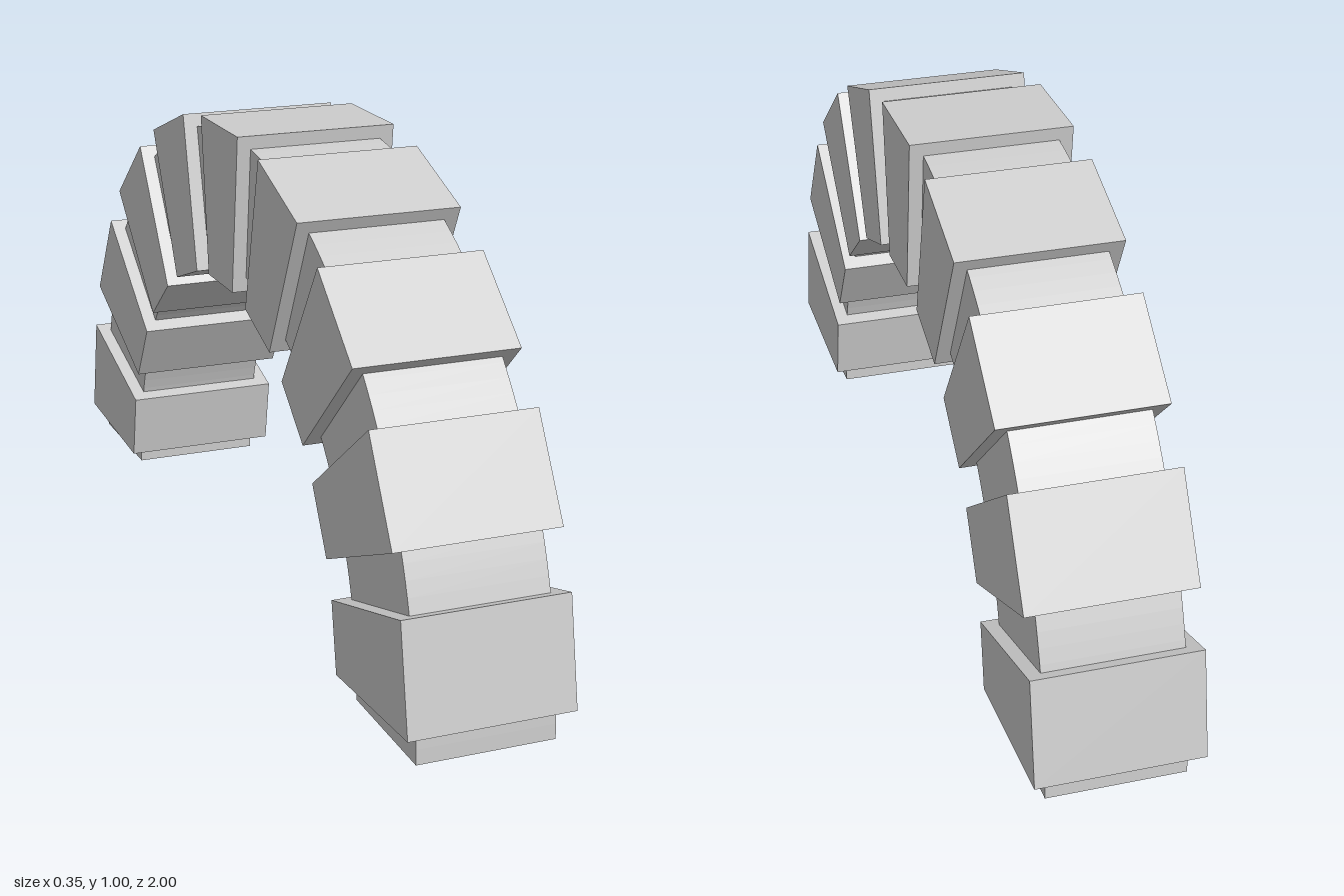
import * as THREE from 'three';

const OUTER = 0.995, INNER = 0.655;          // radial reach of the wedge blocks
const CORE_OUTER = 0.973, CORE_INNER = 0.69; // radial reach of the recessed core
const BLOCKS = 9, STEP = Math.PI / BLOCKS;

// Extrude a (z, y) outline to a given width, centred on x = 0
function slab(shape, width, curveSegments = 1) {
  const geometry = new THREE.ExtrudeGeometry(shape, { depth: width, bevelEnabled: false, curveSegments });
  geometry.translate(0, 0, -width / 2);
  geometry.rotateY(-Math.PI / 2);
  return geometry;
}

export function createModel() {
  const model = new THREE.Group();
  model.name = 'stoneArch';
  const stone = new THREE.MeshStandardMaterial({ color: 0xcccccc });
  stone.name = 'pale grey stone';

  const arch = new THREE.Group();
  arch.name = 'arch';
  arch.position.y = 0.005;
  model.add(arch);

  // Recessed half-ring running through all blocks
  const start = -0.005, end = THREE.MathUtils.degToRad(179.4);
  const ring = new THREE.Shape();
  ring.absarc(0, 0, CORE_OUTER, start, end, false);
  ring.absarc(0, 0, CORE_INNER, end, start, true);
  const core = new THREE.Mesh(slab(ring, 0.287, 48), stone);
  core.name = 'archCore';
  arch.add(core);

  // Wider tapered blocks spaced evenly around the half-circle
  const wedge = new THREE.Shape([
    new THREE.Vector2(-0.075, INNER), new THREE.Vector2(0.075, INNER),
    new THREE.Vector2(0.114, OUTER), new THREE.Vector2(-0.114, OUTER),
  ]);
  const wedgeGeometry = slab(wedge, 0.346);
  const middle = (BLOCKS - 1) / 2;
  for (let i = 0; i < BLOCKS; i++) {
    const block = new THREE.Mesh(wedgeGeometry, stone);
    block.name = i === middle ? 'keystone' : `archBlock${i + 1}`;
    block.rotation.x = (middle - i) * STEP;
    arch.add(block);
  }
  return model;
}
